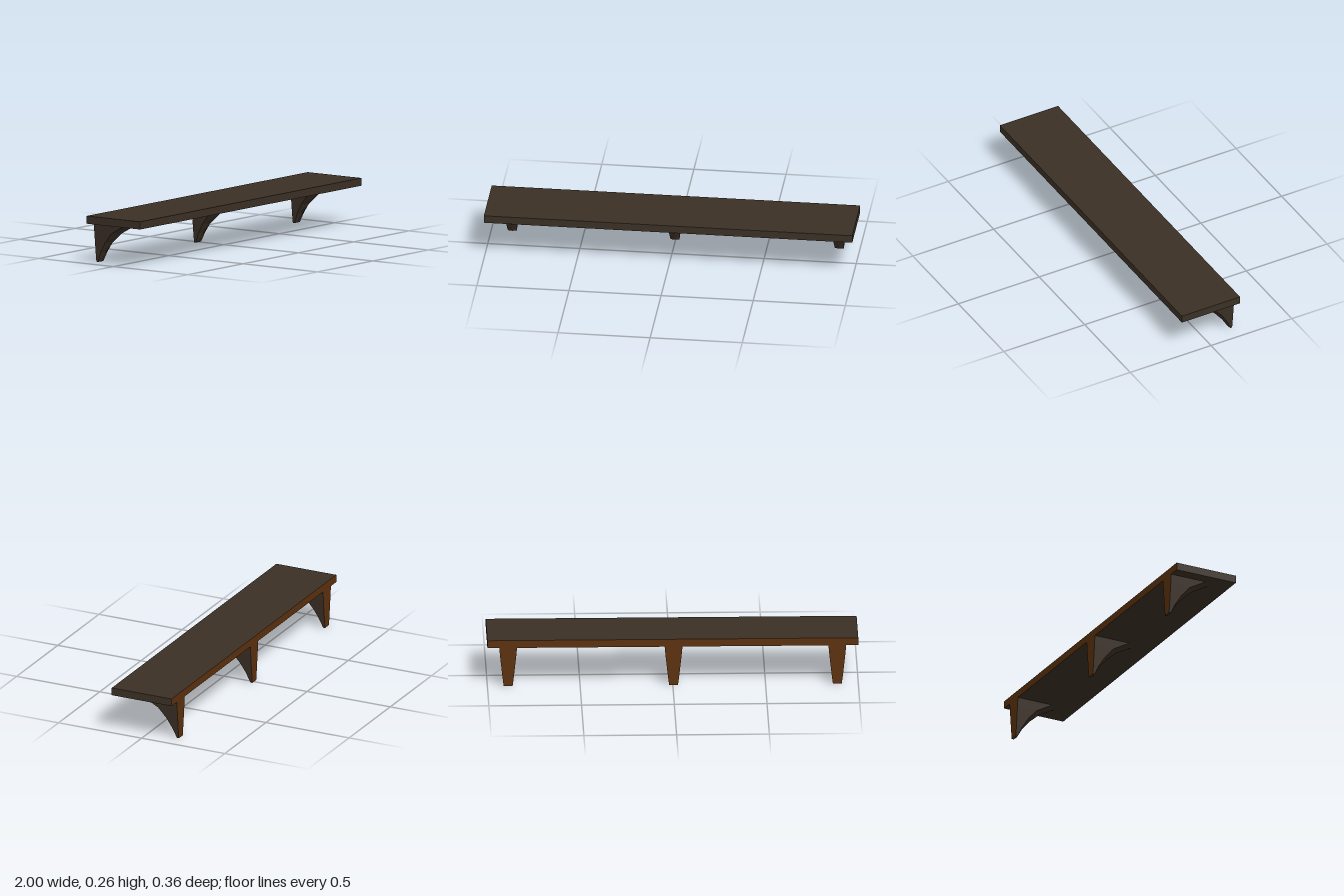
import * as THREE from 'three';

const darkWood = new THREE.MeshStandardMaterial({ color: 0x3b3025 });
darkWood.name = 'dark wood';
const backWood = new THREE.MeshStandardMaterial({ color: 0x5c310d });
backWood.name = 'brown back wood';

const BACK = -0.18;
const UNDERSIDE = 0.218;

// Bracket levels: height, half width, front edge of the sides, centre ridge
const LEVELS = [
  [0, 0.024, -0.169, -0.165],
  [0.055, 0.031, -0.145, -0.132],
  [0.11, 0.037, -0.112, -0.088],
  [0.165, 0.043, -0.065, -0.027],
  [UNDERSIDE, 0.048, 0.03, 0.068],
];

// Five-sided rings joined into a tapering, curved bracket with a ridged front
function bracketGeometry() {
  const rings = LEVELS.map(([y, w, side, ridge]) => [
    [w, y, BACK], [-w, y, BACK], [-w, y, side], [0, y, ridge], [w, y, side],
  ]);
  const back = [];
  const rest = [];
  for (let k = 0; k < rings.length - 1; k++) {
    for (let i = 0; i < 5; i++) {
      const j = (i + 1) % 5;
      const [a, b, c, d] = [rings[k][i], rings[k][j], rings[k + 1][j], rings[k + 1][i]];
      (i === 0 ? back : rest).push(a, b, c, a, c, d);
    }
  }
  // End caps
  const foot = rings[0];
  const head = rings[rings.length - 1];
  for (let i = 1; i < 4; i++) {
    rest.push(foot[0], foot[i + 1], foot[i]);
    rest.push(head[0], head[i], head[i + 1]);
  }
  const geometry = new THREE.BufferGeometry();
  geometry.setAttribute('position', new THREE.Float32BufferAttribute([...back, ...rest].flat(), 3));
  geometry.addGroup(0, back.length, 1);
  geometry.addGroup(back.length, rest.length, 0);
  geometry.computeVertexNormals();
  return geometry;
}

export function createModel() {
  const model = new THREE.Group();
  model.name = 'wallShelf';

  // Board, with a brown rear edge
  const board = new THREE.Mesh(
    new THREE.BoxGeometry(2, 0.042, 0.36),
    [darkWood, darkWood, darkWood, darkWood, darkWood, backWood],
  );
  board.name = 'board';
  board.position.y = UNDERSIDE + 0.021;
  model.add(board);

  // Three supporting brackets
  const geometry = bracketGeometry();
  [['rightBracket', -0.887], ['middleBracket', -0.004], ['leftBracket', 0.888]].forEach(([name, x]) => {
    const bracket = new THREE.Mesh(geometry, [darkWood, backWood]);
    bracket.name = name;
    bracket.position.x = x;
    model.add(bracket);
  });

  return model;
}
